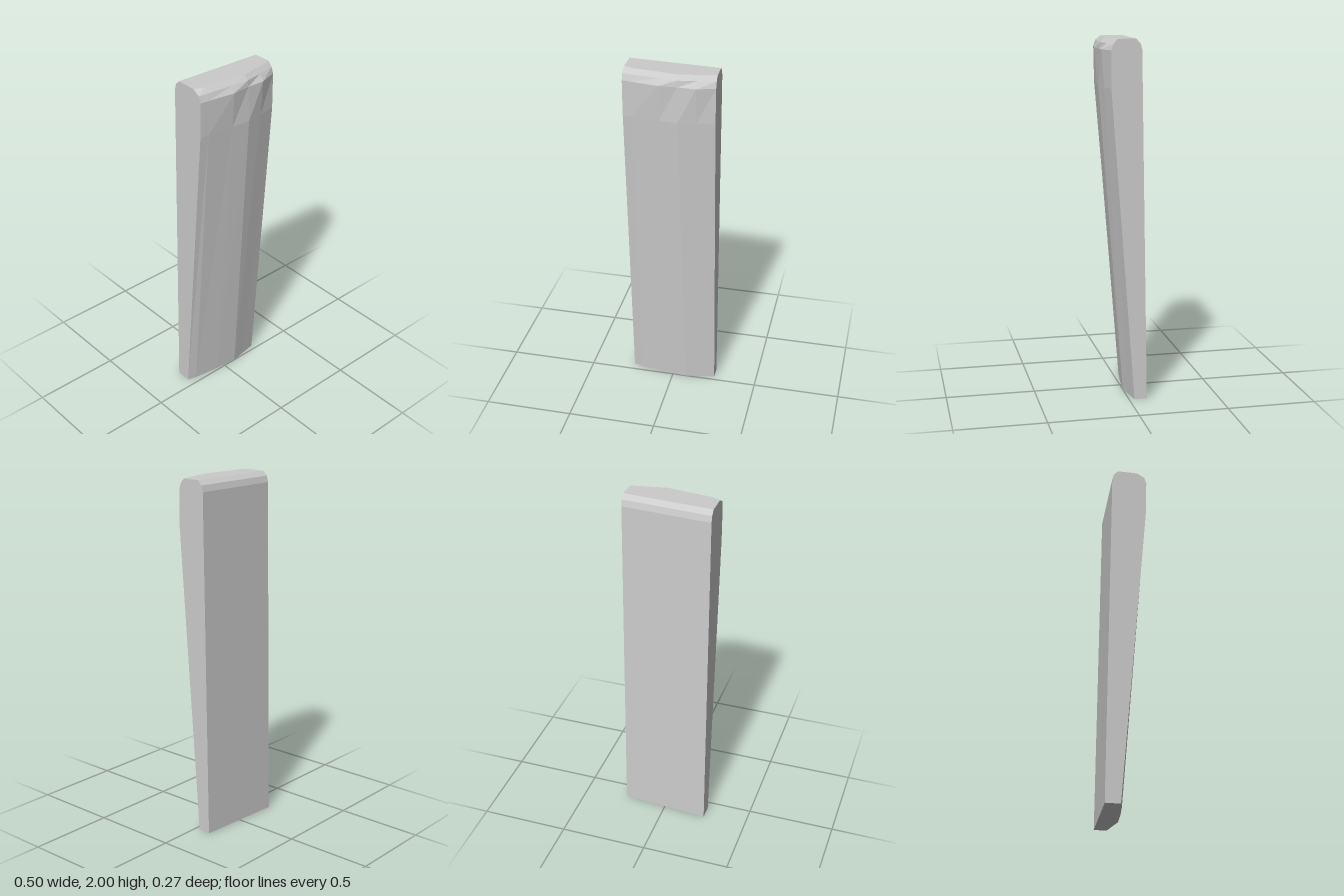
import * as THREE from 'three';

// x positions of the front facets, from one side to the other
const xs = [-0.25, -0.2, -0.05, 0.05, 0.15, 0.25];

// Cross-sections from the narrow foot to the rounded top:
// y = height, front = z of the faceted front, back = shift of the slanted back plane
const sections = [
  { y: 0, front: [-0.05, -0.035, -0.013, 0, -0.013, -0.03], back: 0 },
  { y: 1.74, front: [0.096, 0.103, 0.119, 0.132, 0.118, 0.1], back: 0.03 },
  { y: 1.94, front: [0.1, 0.108, 0.132, 0.127, 0.132, 0.1], back: 0.033 },
  { y: 1.975, front: [0.088, 0.095, 0.11, 0.122, 0.107, 0.088], back: 0.042 },
  { y: 2, front: [0.045, 0.069, 0.086, 0.1, 0.083, 0.065], back: 0.067 },
];

const backZ = (x, shift) => -0.134 + (x + 0.25) * 0.066 + shift;

export function createModel() {
  const n = xs.length;
  const count = 2 * n;
  const positions = [];
  const index = [];
  const quad = (a, b, c, d) => index.push(a, b, c, a, c, d);

  // Each ring runs along the front, then returns along the back
  for (const { y, front, back } of sections) {
    // the front ridge drifts sideways towards the foot
    const ringX = xs.map((x, i) => (i === 3 ? x + 0.03 * (1 - y / 2) : x));
    ringX.forEach((x, i) => positions.push(x, y, front[i]));
    for (let i = n - 1; i >= 0; i--) positions.push(ringX[i], y, backZ(ringX[i], back));
  }

  // Walls
  for (let r = 0; r < sections.length - 1; r++) {
    for (let i = 0; i < count; i++) {
      const j = (i + 1) % count;
      const low = r * count, high = low + count;
      quad(low + i, low + j, high + j, high + i);
    }
  }

  // Flat foot and top
  const top = (sections.length - 1) * count;
  for (let i = 0; i < n - 1; i++) {
    const backA = count - 1 - i, backB = count - 2 - i;
    quad(top + i, top + i + 1, top + backB, top + backA);
    quad(i, backA, backB, i + 1);
  }

  const indexed = new THREE.BufferGeometry();
  indexed.setAttribute('position', new THREE.Float32BufferAttribute(positions, 3));
  indexed.setIndex(index);
  const geometry = indexed.toNonIndexed();
  geometry.computeVertexNormals();

  const slab = new THREE.Mesh(
    geometry,
    new THREE.MeshStandardMaterial({ color: 0xcccccc, flatShading: true })
  );
  slab.name = 'taperedSlab';

  const group = new THREE.Group();
  group.name = 'slab';
  group.add(slab);
  return group;
}
